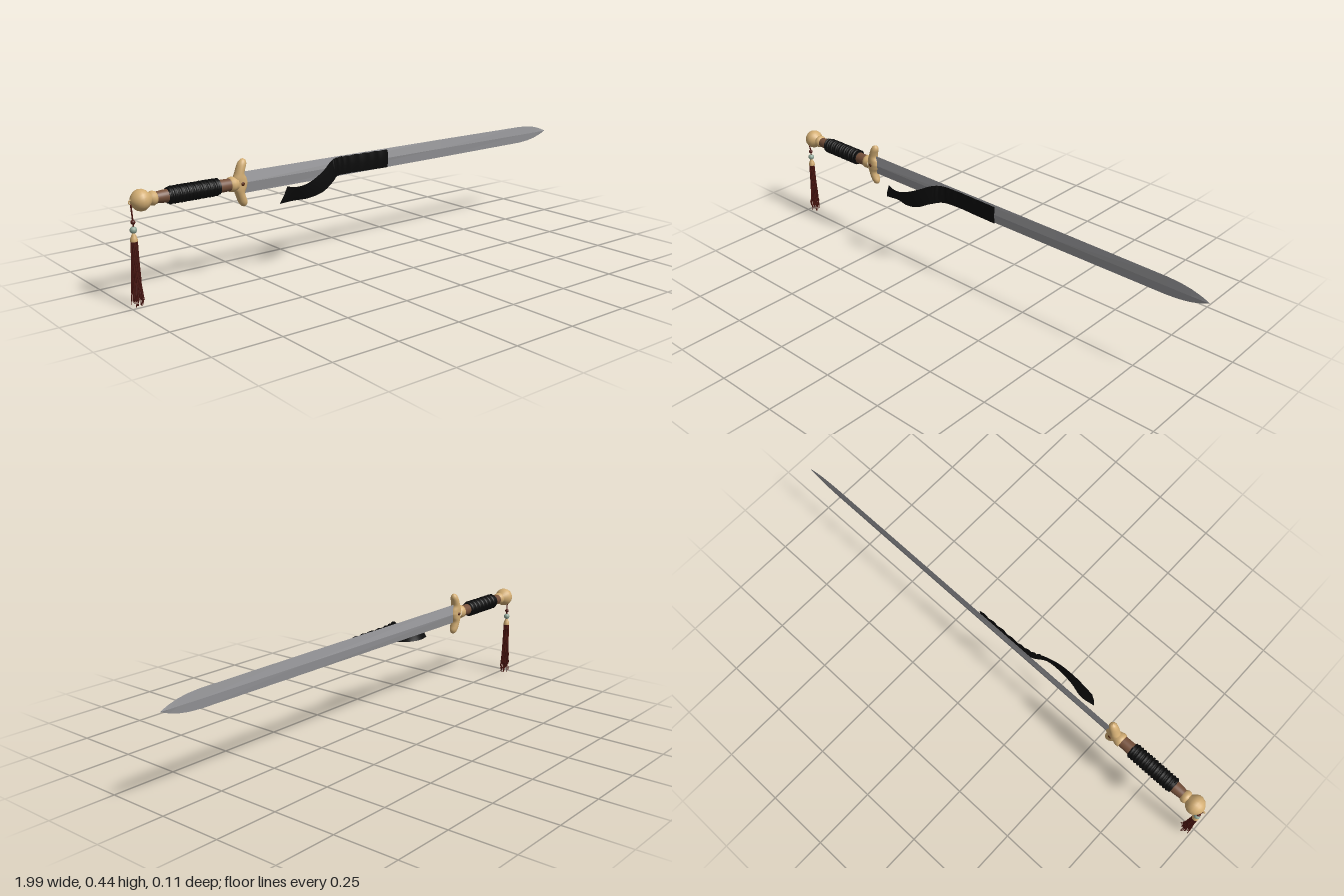
import * as THREE from 'three';
import { mergeGeometries } from 'three/addons/utils/BufferGeometryUtils.js';

const Y = 0.357, Z = -0.02; // sword axis
const V = (x, y, z) => new THREE.Vector3(x, y, z);

// Skin a list of equal-length rings; closed joins the last ring point to the first
function loft(rings, closed = true, flat = false) {
  const n = rings[0].length, pos = [], idx = [];
  rings.forEach(r => r.forEach(p => pos.push(p.x, p.y, p.z)));
  for (let i = 0; i < rings.length - 1; i++) {
    for (let j = 0; j < (closed ? n : n - 1); j++) {
      const k = (j + 1) % n, a = i * n + j, b = a + n, c = i * n + k, d = c + n;
      idx.push(a, c, b, c, d, b);
    }
  }
  let g = new THREE.BufferGeometry();
  g.setAttribute('position', new THREE.Float32BufferAttribute(pos, 3));
  g.setIndex(idx);
  if (flat) g = g.toNonIndexed();
  g.computeVertexNormals();
  return g;
}

export function createModel() {
  const model = new THREE.Group();
  const mat = (name, color, side = THREE.FrontSide) => {
    const m = new THREE.MeshStandardMaterial({ color, side });
    m.name = name;
    return m;
  };
  const steel = mat('steel', 0x97979a);
  const gold = mat('paleGold', 0xd3ae74);
  const wood = mat('wood', 0x75503a);
  const black = mat('blackCloth', 0x0b0b0b, THREE.DoubleSide);
  const red = mat('darkRed', 0x4e1711);
  const jade = mat('jade', 0x93a99a);
  const stud = mat('studBrown', 0x5a2c14);

  const add = (name, geo, m, x = 0, y = 0, z = 0, parent = model) => {
    const mesh = new THREE.Mesh(geo, m);
    mesh.name = name;
    mesh.position.set(x, y, z);
    parent.add(mesh);
    return mesh;
  };
  // Turned part on the sword axis; profile points are [x, radius]
  const turned = (name, profile, m) => {
    const g = new THREE.LatheGeometry(profile.map(([x, r]) => new THREE.Vector2(r, x)), 28);
    add(name, g.rotateZ(-Math.PI / 2), m, 0, Y, Z);
  };

  // Blade: diamond section, [x, half height, half thickness]
  const blade = [[-0.57, 0.0385, 0.008], [0.38, 0.0365, 0.0055], [0.84, 0.0345, 0.004], [0.89, 0.031, 0.0037],
    [0.93, 0.0245, 0.0032], [0.965, 0.0145, 0.0025], [0.985, 0.007, 0.0018], [1, 0.0003, 0.0003]];
  add('blade', loft(blade.map(([x, h, t]) =>
    [V(x, Y + h, Z), V(x, Y, Z + t), V(x, Y - h, Z), V(x, Y, Z - t)]), true, true), steel);

  // Guard: rounded bar with bulbous ends leaning toward the blade
  const guardPath = new THREE.CatmullRomCurve3([ // offset along x, half width x, half depth z
    V(-0.565, 0.029, 0.02), V(-0.567, 0.026, 0.02), V(-0.567, 0.018, 0.019),
    V(-0.562, 0.017, 0.018), V(-0.556, 0.017, 0.016), V(-0.552, 0.012, 0.012)]);
  const guardRings = [];
  for (let i = -24; i <= 24; i++) {
    const s = i / 24, u = Math.abs(s), p = guardPath.getPoint(u);
    const round = Math.sqrt(Math.max(1 - Math.pow(u, 12), 0.0001));
    const ring = [];
    for (let j = 0; j < 20; j++) {
      const a = j / 20 * Math.PI * 2;
      ring.push(V(p.x + Math.cos(a) * p.y * round, Y + s * 0.086, Z - Math.sin(a) * p.z * round));
    }
    guardRings.push(ring);
  }
  add('guard', loft(guardRings), gold);
  for (const side of [-1, 1]) {
    const g = new THREE.SphereGeometry(0.007, 14, 10).scale(1, 1, 0.5);
    add('guardStud', g, stud, -0.565, Y, Z + side * 0.02);
  }

  // Handle
  turned('grip', [[-0.9, 0.018], [-0.87, 0.021], [-0.84, 0.023], [-0.66, 0.023], [-0.62, 0.022], [-0.58, 0.022]], wood);
  turned('guardCollar', [[-0.61, 0.02], [-0.607, 0.026], [-0.597, 0.027], [-0.588, 0.024], [-0.58, 0.022]], gold);
  turned('pommelCollar', [[-0.912, 0.018], [-0.905, 0.024], [-0.897, 0.025], [-0.888, 0.021], [-0.885, 0.017]], gold);
  turned('wrapCore', [[-0.847, 0.022], [-0.845, 0.0275], [-0.653, 0.0275], [-0.651, 0.022]], black);
  const turns = 14, helix = [];
  for (let i = 0; i <= turns * 12; i++) {
    const a = i / 12 * Math.PI * 2;
    helix.push(V(-0.842 + 0.186 * i / (turns * 12), Y + Math.cos(a) * 0.026, Z + Math.sin(a) * 0.026));
  }
  add('gripWrap', new THREE.TubeGeometry(new THREE.CatmullRomCurve3(helix), turns * 24, 0.0056, 6), black);

  // Pommel
  turned('pommel', [[-0.976, 0], [-0.975, 0.01], [-0.968, 0.022], [-0.958, 0.032], [-0.945, 0.037], [-0.932, 0.036],
    [-0.921, 0.03], [-0.913, 0.022], [-0.907, 0.018]], gold);
  add('pommelRing', new THREE.TorusGeometry(0.007, 0.0022, 8, 20), gold, -0.976, Y - 0.002, Z);

  // Ribbon on the front of the blade with a loose, twisting tail
  const topEdge = new THREE.CatmullRomCurve3([V(0.095, 0.389, -0.013), V(0, 0.391, -0.012), V(-0.1, 0.392, -0.011),
    V(-0.16, 0.394, -0.002), V(-0.2, 0.39, 0.018), V(-0.256, 0.363, 0.041), V(-0.33, 0.333, 0.052),
    V(-0.38, 0.327, 0.049), V(-0.412, 0.333, 0.044)]);
  const lowEdge = new THREE.CatmullRomCurve3([V(0.095, 0.321, -0.013), V(0, 0.323, -0.012), V(-0.1, 0.325, -0.011),
    V(-0.16, 0.326, 0.002), V(-0.2, 0.316, 0.03), V(-0.256, 0.289, 0.043), V(-0.32, 0.275, 0.04),
    V(-0.38, 0.272, 0.026), V(-0.438, 0.272, 0.034)]);
  const strips = [];
  for (let i = 0; i <= 96; i++) {
    const t = i / 96, a = topEdge.getPoint(t), b = lowEdge.getPoint(t);
    const pleat = t < 0.45 ? Math.abs(Math.sin(i * 0.55)) * 0.003 : 0;
    const mid = a.clone().lerp(b, 0.5);
    mid.z += 0.003;
    a.y += pleat;
    a.z += pleat;
    mid.z += pleat;
    strips.push([a, mid, b]);
  }
  add('ribbon', loft(strips, false), black);

  // Tassel
  const tassel = new THREE.Group();
  tassel.name = 'tassel';
  tassel.position.set(-0.972, 0, Z);
  model.add(tassel);
  const cord = new THREE.CatmullRomCurve3([V(-0.004, 0.35, 0), V(-0.003, 0.32, 0.002), V(0, 0.29, 0), V(0, 0.25, 0)]);
  add('cord', new THREE.TubeGeometry(cord, 12, 0.0028, 6), red, 0, 0, 0, tassel);
  add('knot', new THREE.SphereGeometry(0.008, 14, 10), red, 0, 0.288, 0, tassel);
  add('bead', new THREE.SphereGeometry(0.012, 18, 12), jade, 0, 0.262, 0, tassel);
  const cap = [[0.0125, 0.224], [0.0125, 0.23], [0.01, 0.238], [0.006, 0.247], [0.0045, 0.253], [0, 0.254]];
  add('tasselCap', new THREE.LatheGeometry(cap.map(p => new THREE.Vector2(...p)), 20), gold, 0, 0, 0, tassel);
  add('tasselCore', new THREE.CylinderGeometry(0.01, 0.0095, 0.12, 12), red, 0, 0.168, 0, tassel);

  let seed = 7;
  const rnd = () => (seed = (seed * 16807) % 2147483647) / 2147483647;
  const threads = [];
  for (let i = 0; i < 64; i++) {
    const a = i * 2.39996, s = Math.sqrt((i + 0.5) / 64), c = Math.cos(a), d = Math.sin(a);
    const end = i === 63 ? 0.001 : 0.002 + rnd() * 0.05;
    const spread = 0.013 + rnd() * 0.013, w = (rnd() - 0.5) * 0.005;
    const path = new THREE.CatmullRomCurve3([V(c * s * 0.011, 0.23, d * s * 0.011),
      V(c * s * 0.013, 0.15, d * s * 0.013), V(c * s * 0.016 + w, 0.08, d * s * 0.016 - w),
      V(c * s * spread, end, d * s * spread)]);
    threads.push(new THREE.TubeGeometry(path, 8, 0.0014, 4));
  }
  add('tasselThreads', mergeGeometries(threads), red, 0, 0, 0, tassel);

  return model;
}
